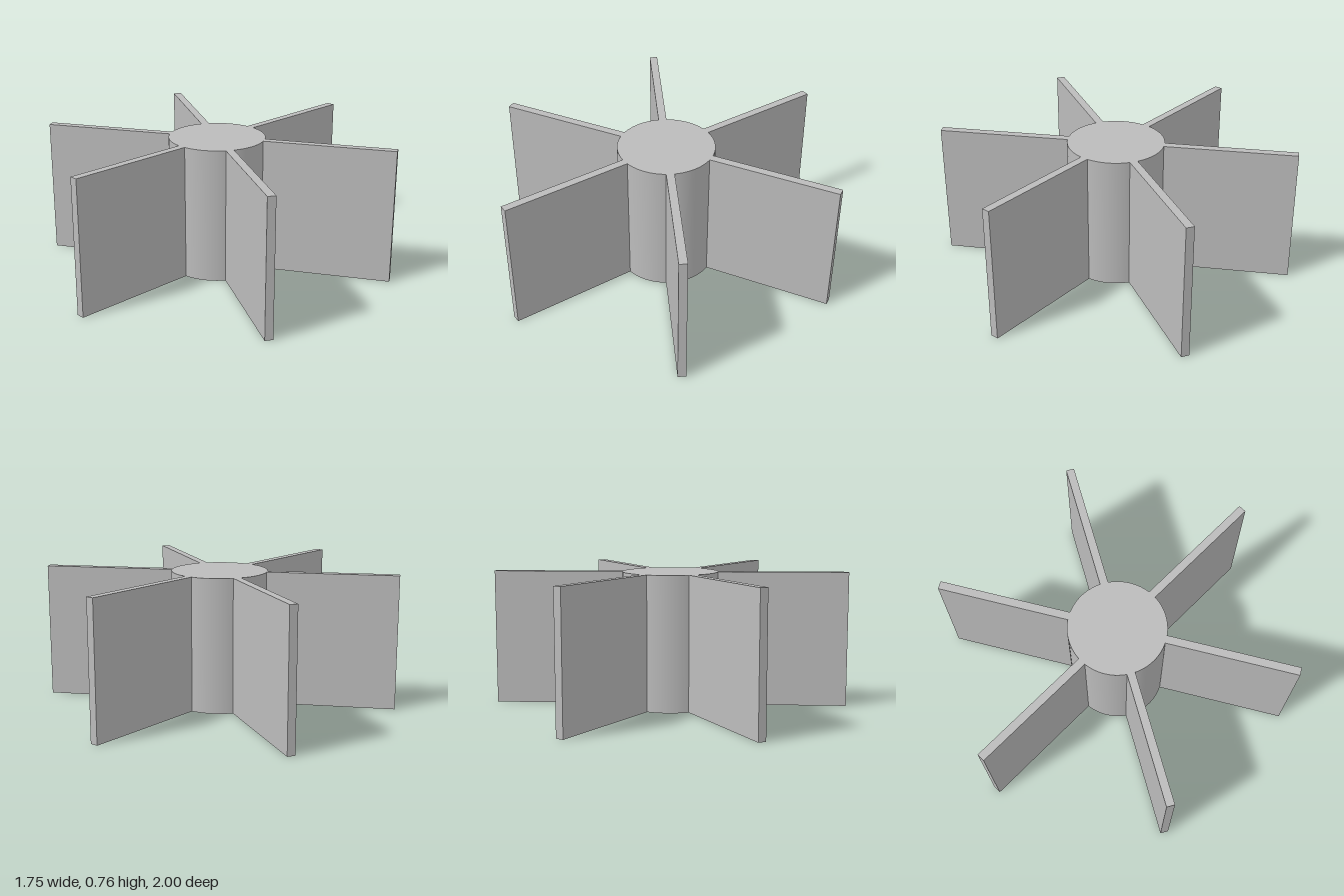
import * as THREE from 'three';

const HEIGHT = 0.76, HUB_RADIUS = 0.27, TIP_RADIUS = 1, THICKNESS = 0.045, BLADES = 6;

export function createModel() {
  const model = new THREE.Group();
  model.name = 'paddleWheel';
  const grey = new THREE.MeshStandardMaterial({ color: 0xbcbcbc });
  grey.name = 'light grey';

  // Round central hub
  const hub = new THREE.Mesh(new THREE.CylinderGeometry(HUB_RADIUS, HUB_RADIUS, HEIGHT, 96), grey);
  hub.name = 'hub';
  hub.position.y = HEIGHT / 2;
  model.add(hub);

  // Flat radial blades, rooted just inside the hub surface
  const root = Math.sqrt(HUB_RADIUS ** 2 - (THICKNESS / 2) ** 2) - 0.001;
  const bladeGeometry = new THREE.BoxGeometry(THICKNESS, HEIGHT, TIP_RADIUS - root);
  bladeGeometry.translate(0, HEIGHT / 2, (TIP_RADIUS + root) / 2);
  for (let i = 0; i < BLADES; i++) {
    const blade = new THREE.Mesh(bladeGeometry, grey);
    blade.name = `blade${i + 1}`;
    blade.rotation.y = (i * Math.PI * 2) / BLADES;
    model.add(blade);
  }
  return model;
}
